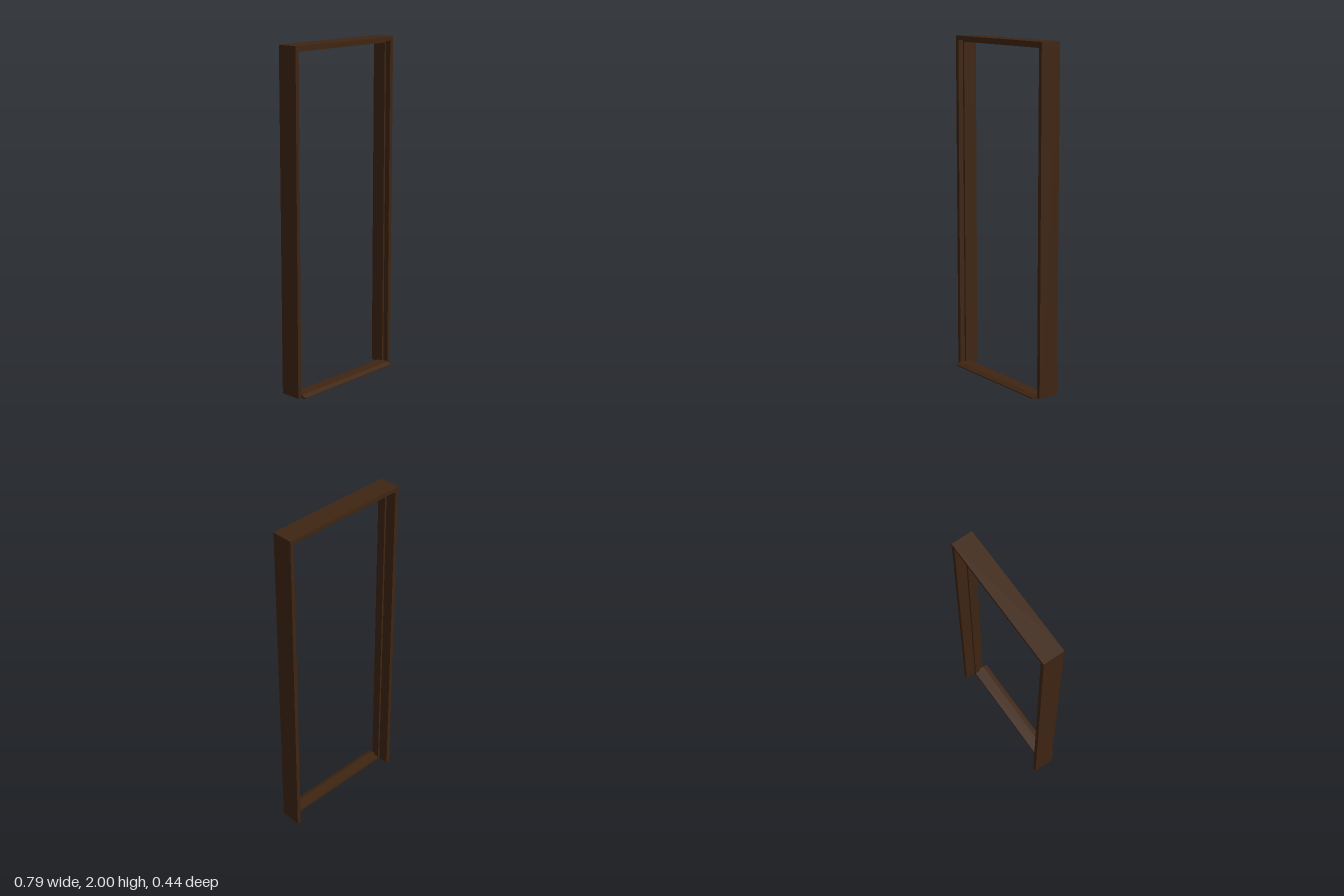
import * as THREE from 'three';

const W = 0.8, H = 2, T = 0.024;          // outer width, height, board thickness
const BACK = -0.074, FRONT = 0.052;       // frame depth range
const STOP = 0.012, STOP_BACK = -0.01, STOP_FRONT = 0.02;

export function createModel() {
  const model = new THREE.Group();
  const wood = new THREE.MeshStandardMaterial({ color: 0x3f2512 });
  wood.name = 'dark brown wood';

  const frame = new THREE.Group();
  frame.name = 'doorFrame';

  function add(name, geometry) {
    const mesh = new THREE.Mesh(geometry, wood);
    mesh.name = name;
    frame.add(mesh);
  }
  function board(name, x0, x1, y0, y1, z0, z1) {
    const g = new THREE.BoxGeometry(x1 - x0, y1 - y0, z1 - z0);
    g.translate((x0 + x1) / 2, (y0 + y1) / 2, (z0 + z1) / 2);
    add(name, g);
  }

  // side jambs with their door stops
  const inner = W / 2 - T;
  for (const [side, s] of [['left', 1], ['right', -1]]) {
    const span = (a, b) => (s > 0 ? [a, b] : [-b, -a]);
    board(side + 'Jamb', ...span(inner, W / 2), 0, H - T, BACK, FRONT);
    board(side + 'Stop', ...span(inner - STOP, inner), 0, H - T, STOP_BACK, STOP_FRONT);
  }

  // header across the top with its stop
  board('header', -W / 2, W / 2, H - T, H, BACK, FRONT);
  board('headerStop', -inner + STOP, inner - STOP, H - T - STOP, H - T, STOP_BACK, STOP_FRONT);

  // sill with a sloped front nose, extruded across the opening
  const profile = new THREE.Shape([
    [STOP_BACK, 0], [0.084, 0], [0.084, 0.006], [0.056, 0.017], [STOP_BACK, 0.017],
  ].map(([z, y]) => new THREE.Vector2(-z, y)));
  const sill = new THREE.ExtrudeGeometry(profile, { depth: 2 * inner, bevelEnabled: false });
  sill.rotateY(Math.PI / 2);
  sill.translate(-inner, 0, 0);
  add('sill', sill);

  // the whole frame stands turned about the vertical
  frame.rotation.y = THREE.MathUtils.degToRad(22.4);
  frame.position.set(0.003, 0, -0.001);
  model.add(frame);
  return model;
}
